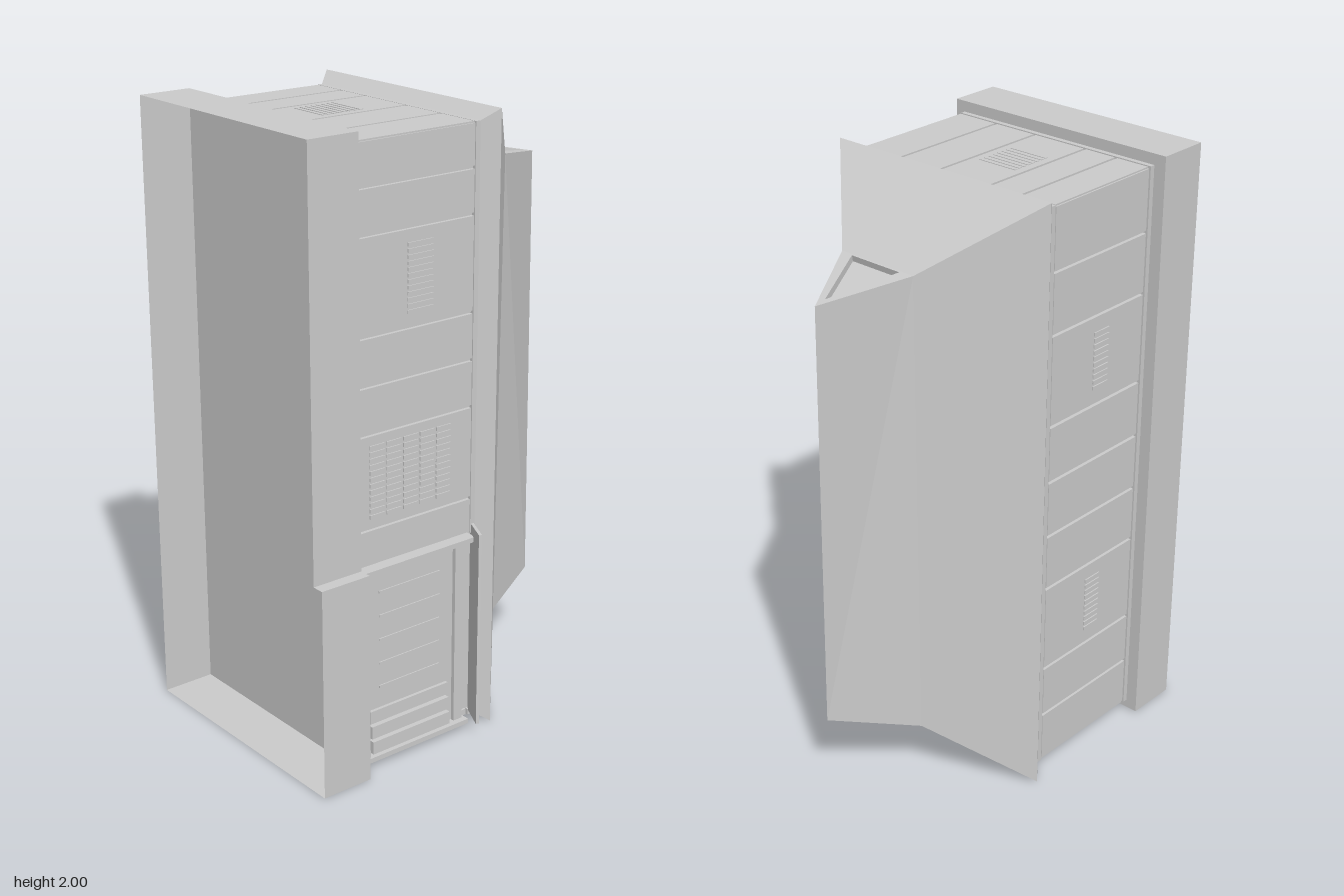
import * as THREE from 'three';

const mat = new THREE.MeshStandardMaterial({ color: 0xcccccc, flatShading: true });
const thin = new THREE.MeshStandardMaterial({ color: 0xcccccc, flatShading: true, side: THREE.DoubleSide });

// Box given by its limits on each axis
function box(parent, name, x0, x1, y0, y1, z0, z1) {
  const m = new THREE.Mesh(new THREE.BoxGeometry(x1 - x0, y1 - y0, z1 - z0), mat);
  m.position.set((x0 + x1) / 2, (y0 + y1) / 2, (z0 + z1) / 2);
  m.name = name;
  parent.add(m);
  return m;
}

function group(parent, name) {
  const g = new THREE.Group();
  g.name = name;
  parent.add(g);
  return g;
}

// Mesh from a flat list of triangle corners
function faceted(name, points, material) {
  const geo = new THREE.BufferGeometry().setFromPoints(points);
  geo.computeVertexNormals();
  const m = new THREE.Mesh(geo, material);
  m.name = name;
  return m;
}

// Shallow open tray on the front, wider at the bottom
function frontTray() {
  const g = new THREE.Group();
  g.name = 'frontTray';
  const outline = [[-0.445, 0], [0.43, 0], [0.43, 0.685], [0.39, 0.685], [0.39, 2], [-0.445, 2]]
    .map(p => new THREE.Vector2(...p));
  const back = new THREE.Mesh(new THREE.ShapeGeometry(new THREE.Shape(outline)), thin);
  back.position.z = 0.436;
  back.name = 'trayPanel';
  const pts = [];
  outline.forEach((p, i) => {
    const q = outline[(i + 1) % outline.length];
    const at = (v, z) => new THREE.Vector3(v.x, v.y, z);
    pts.push(at(p, 0.436), at(q, 0.436), at(q, 0.612), at(p, 0.436), at(q, 0.612), at(p, 0.612));
  });
  g.add(back, faceted('trayRim', pts, thin));
  return g;
}

// Faceted wedge on the back, with a triangular recess at each end
function rearKeel() {
  const ring = (x0, x1, yb, yt, zb, zt) => [
    [x0, yb, zb], [x1, yb, zb], [x1, yt, zt], [x0, yt, zt]].map(p => new THREE.Vector3(...p));
  const rings = [
    ring(-0.405, 0.355, 0.035, 1.965, -0.04, -0.04),
    ring(-0.445, 0.39, 0, 2, -0.09, -0.09),
    ring(-0.165, 0.12, 0.22, 1.785, -0.34, -0.355)];
  const pts = [];
  const tri = (...p) => pts.push(...p);
  const quad = (a, b, c, d) => { tri(a, b, c); tri(a, c, d); };
  for (let r = 0; r < 2; r++) for (let i = 0; i < 4; i++) {
    const j = (i + 1) % 4;
    quad(rings[r][i], rings[r + 1][i], rings[r + 1][j], rings[r][j]);
  }
  const mid = rings[2];
  const low = new THREE.Vector3(0.025, 0.275, -0.575);
  const high = new THREE.Vector3(-0.03, 1.735, -0.612);
  tri(mid[1], low, mid[2]);
  tri(low, high, mid[2]);
  tri(mid[3], high, low);
  tri(mid[3], low, mid[0]);
  const recess = (a, tip, b) => {
    const outer = [a, tip, b];
    const inner = [a.clone().lerp(b, 0.15).lerp(tip, 0.02), tip.clone().lerp(a.clone().lerp(b, 0.5), 0.16),
      b.clone().lerp(a, 0.17).lerp(tip, 0.02)];
    const n = new THREE.Triangle(a, tip, b).getNormal(new THREE.Vector3());
    const floor = inner.map(p => p.clone().addScaledVector(n, -0.02));
    for (let i = 0; i < 3; i++) {
      const j = (i + 1) % 3;
      quad(outer[i], outer[j], inner[j], inner[i]);
      quad(inner[i], inner[j], floor[j], floor[i]);
    }
    tri(...floor);
  };
  recess(mid[0], low, mid[1]);
  recess(mid[2], high, mid[3]);
  return faceted('rearKeel', pts, mat);
}

// Stack of side panels separated by seams; s is the side (+1 or -1)
function sidePanels(parent, name, s, seams) {
  const g = group(parent, name);
  const [x0, x1] = s > 0 ? [0.335, 0.355] : [-0.405, -0.385];
  for (let i = 0; i + 1 < seams.length; i++)
    box(g, 'panel', x0, x1, seams[i] + 0.005, seams[i + 1] - 0.005, -0.02, 0.41);
  for (const z of [-0.04, 0.418]) box(g, 'rail', x0, x1, seams[0], 1.965, z, z + 0.017);
}

// Grid of small louvres standing just proud of a side
function louvres(parent, name, s, y0, y1, z0, z1, rows, cols) {
  const g = group(parent, name);
  const x = s > 0 ? 0.355 : -0.405;
  const h = (y1 - y0) / rows, w = (z1 - z0) / cols;
  for (let r = 0; r < rows; r++) for (let c = 0; c < cols; c++) {
    const y = y0 + r * h, z = z0 + c * w;
    box(g, 'louvre', x - 0.004, x + 0.004, y + h * 0.2, y + h * 0.8, z + w * 0.06, z + w * 0.94);
  }
}

export function createModel() {
  const model = new THREE.Group();
  model.name = 'cabinet';
  model.add(frontTray(), rearKeel());

  // Body core and its side panels
  const body = group(model, 'body');
  box(body, 'core', -0.393, 0.343, 0.042, 1.953, -0.045, 0.436);
  sidePanels(body, 'leftPanels', 1, [0.67, 0.79, 1.09, 1.24, 1.39, 1.69, 1.83, 1.965]);
  sidePanels(body, 'rightPanels', -1, [0.035, 0.21, 0.39, 0.69, 0.88, 1.07, 1.26, 1.56, 1.76, 1.965]);
  louvres(body, 'upperVent', 1, 1.43, 1.65, 0.13, 0.24, 12, 1);
  louvres(body, 'mainGrille', 1, 0.82, 1.06, 0.06, 0.38, 12, 5);
  louvres(body, 'sideVent', -1, 1.31, 1.51, 0.17, 0.25, 10, 1);
  louvres(body, 'sideVent', -1, 0.44, 0.64, 0.17, 0.25, 10, 1);

  // Top and bottom panels, with a vent on the top
  const xs = [-0.405, -0.28, -0.16, 0.04, 0.2, 0.355];
  for (const [name, y] of [['topPanels', 1.945], ['bottomPanels', 0.03]]) {
    const g = group(body, name);
    for (let i = 0; i < 5; i++)
      box(g, 'panel', xs[i] + 0.005, xs[i + 1] - 0.005, y, y + 0.02, -0.02, 0.41);
    for (const z of [-0.04, 0.418]) box(g, 'rail', -0.405, 0.355, y, y + 0.02, z, z + 0.017);
  }
  for (let i = 0; i < 8; i++)
    box(body, 'topVentSlat', -0.13, 0.01, 1.96, 1.967, 0.12 + i * 0.02, 0.132 + i * 0.02);

  // Service bay low on the left side
  const bay = group(model, 'serviceBay');
  box(bay, 'bayLedge', 0.34, 0.385, 0.652, 0.668, -0.02, 0.436);
  box(bay, 'baySill', 0.34, 0.385, 0.02, 0.036, 0, 0.436);
  box(bay, 'bayPanel', 0.33, 0.352, 0.036, 0.652, 0.015, 0.385);
  box(bay, 'bayPost', 0.33, 0.365, 0.036, 0.652, 0.385, 0.395);
  box(bay, 'bayPost', 0.33, 0.365, 0.036, 0.652, 0.01, 0.045);
  for (const y of [0.05, 0.33, 0.51]) box(bay, 'latch', 0.34, 0.38, y - 0.012, y + 0.012, 0.395, 0.436);
  for (let i = 0; i < 5; i++)
    box(bay, 'panelRib', 0.35, 0.356, 0.25 + i * 0.08, 0.258 + i * 0.08, 0.1, 0.34);
  for (let i = 0; i < 3; i++)
    box(bay, 'kickStep', 0.35, 0.375 - i * 0.006, 0.04 + i * 0.05, 0.082 + i * 0.05, 0.07, 0.38);

  // Door swung open on the rear edge of the bay
  const door = box(bay, 'openDoor', 0, 0.1, 0.045, 0.7, -0.005, 0.005);
  door.geometry.translate(0.05, 0, 0);
  door.position.set(0.35, 0.3725, -0.034);
  door.rotation.y = -0.45;
  return model;
}
